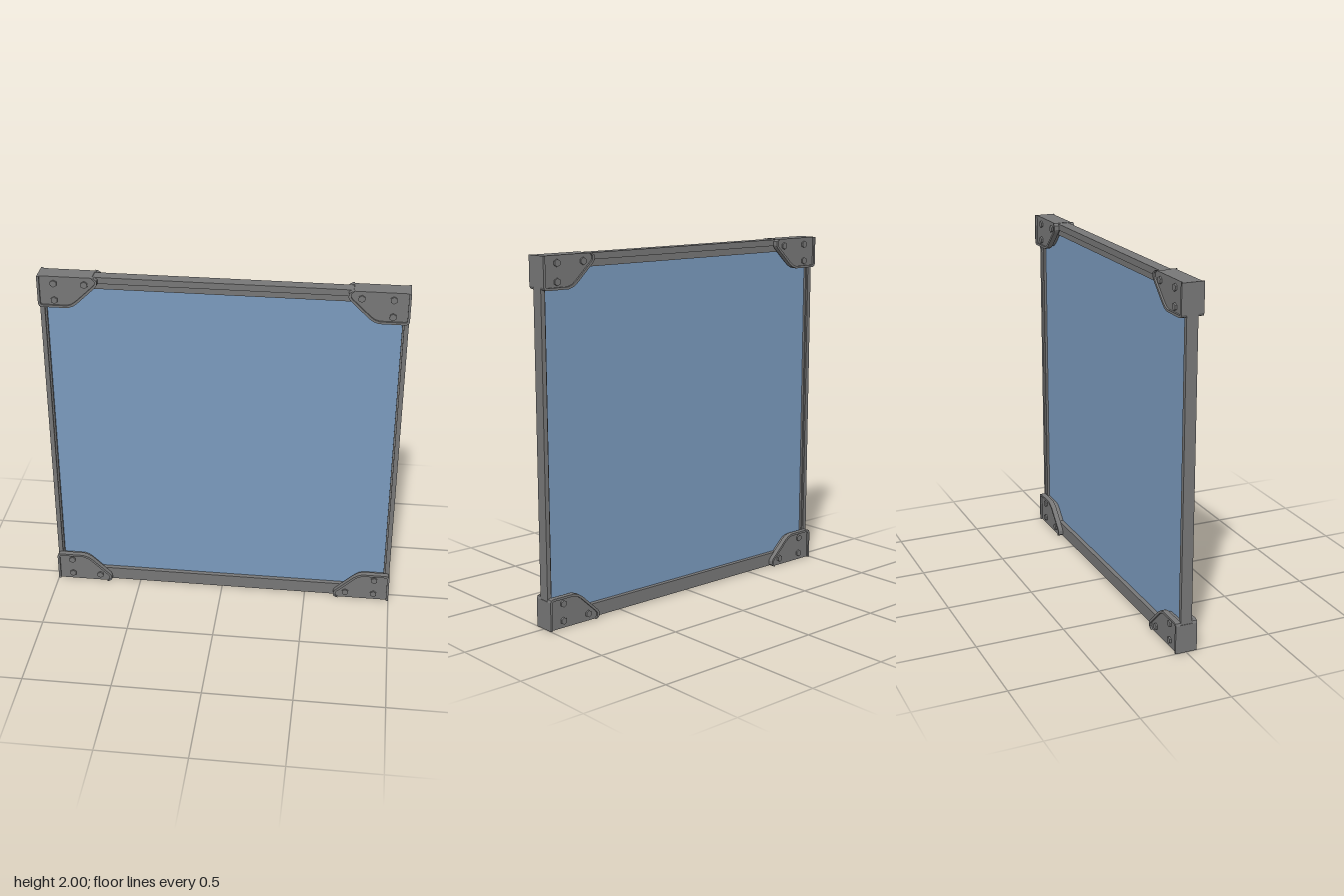
import * as THREE from 'three';

const metal = new THREE.MeshStandardMaterial({ color: 0x777777, flatShading: true });
const glass = new THREE.MeshStandardMaterial({ color: 0x7a9abd });

// Gusset outline with its corner at the origin, reaching inwards along +x and +y
const OUTER = [[0, 0], [0.31, 0], [0.328, 0.012], [0.328, 0.036], [0.32, 0.05], [0.215, 0.15],
  [0.19, 0.168], [0.16, 0.178], [0.02, 0.178], [0.006, 0.173], [0, 0.16]];
// The same outline set in by the rim width, open along the rail edge
const INNER = [[0.013, 0], [0.3, 0], [0.315, 0.015], [0.314, 0.034], [0.307, 0.044], [0.207, 0.139],
  [0.184, 0.156], [0.158, 0.165], [0.024, 0.165], [0.016, 0.162], [0.013, 0.155]];
const BOLTS = [[0.09, 0.04], [0.09, 0.137], [0.258, 0.04]];

function createBox(name, x0, x1, y0, y1, halfZ, material = metal) {
  const mesh = new THREE.Mesh(new THREE.BoxGeometry(x1 - x0, y1 - y0, 2 * halfZ), material);
  mesh.position.set((x0 + x1) / 2, (y0 + y1) / 2, 0);
  mesh.name = name;
  return mesh;
}

function createSlab(name, points, z0, z1) {
  const shape = new THREE.Shape(points.map(([x, y]) => new THREE.Vector2(x, y)));
  const geometry = new THREE.ExtrudeGeometry(shape, { depth: z1 - z0, bevelEnabled: false });
  geometry.translate(0, 0, z0);
  const mesh = new THREE.Mesh(geometry, metal);
  mesh.name = name;
  return mesh;
}

function createBracket(name, sx, top) {
  const bracket = new THREE.Group();
  bracket.name = name;
  // Turns corner-relative points into model positions
  const place = ([x, y]) => [sx * (1 - x), top ? 2 - y : y];

  bracket.add(createSlab('bracketCore', INNER.map(place), -0.035, 0.035));
  // End wall that closes the bracket at the outer side
  const wall = [[0, 0], [0.02, 0], [0.02, 0.162], [0, 0.162]];
  bracket.add(createSlab('bracketEndWall', wall.map(place), -0.035, 0.035));

  // The rim is the band between the two outlines, joined at the rail edge
  const band = [OUTER[0], ...OUTER.slice(1).reverse(), OUTER[1], ...INNER.slice(1), INNER[0]];
  band.splice(OUTER.length, 1);
  for (const side of [1, -1]) {
    const range = (a, b) => (side > 0 ? [a, b] : [-b, -a]);
    bracket.add(createSlab('bracketPlate', OUTER.map(place), ...range(0.032, 0.052)));
    bracket.add(createSlab('bracketRim', band.map(place), ...range(0.052, 0.0625)));
    // Hexagonal bolt heads in the recess
    for (const point of BOLTS) {
      const bolt = new THREE.Mesh(new THREE.CylinderGeometry(0.02, 0.02, 0.012, 6), metal);
      bolt.name = 'bolt';
      bolt.rotation.x = Math.PI / 2;
      bolt.position.set(...place(point), side * 0.056);
      bracket.add(bolt);
    }
  }
  return bracket;
}

export function createModel() {
  const model = new THREE.Group();
  model.name = 'framedPanel';

  model.add(createBox('glassPane', -0.97, 0.97, 0.07, 1.94, 0.008, glass));

  // Rails: the top one is stepped, the bottom one is plain
  model.add(createBox('topRail', -0.98, 0.98, 1.962, 1.998, 0.034));
  model.add(createBox('topRailLip', -0.965, 0.965, 1.925, 1.963, 0.02));
  model.add(createBox('bottomRail', -0.98, 0.98, 0.004, 0.08, 0.034));

  for (const sx of [-1, 1]) {
    const side = sx > 0 ? 'left' : 'right';
    // Side post with a thin glazing lip
    const span = (a, b) => (sx > 0 ? [a, b] : [-b, -a]);
    model.add(createBox(side + 'Post', ...span(0.972, 0.997), 0.02, 1.98, 0.032));
    model.add(createBox(side + 'PostLip', ...span(0.963, 0.973), 0.07, 1.93, 0.022));
    model.add(createBracket(side + 'TopBracket', sx, true));
    model.add(createBracket(side + 'BottomBracket', sx, false));
  }
  return model;
}
